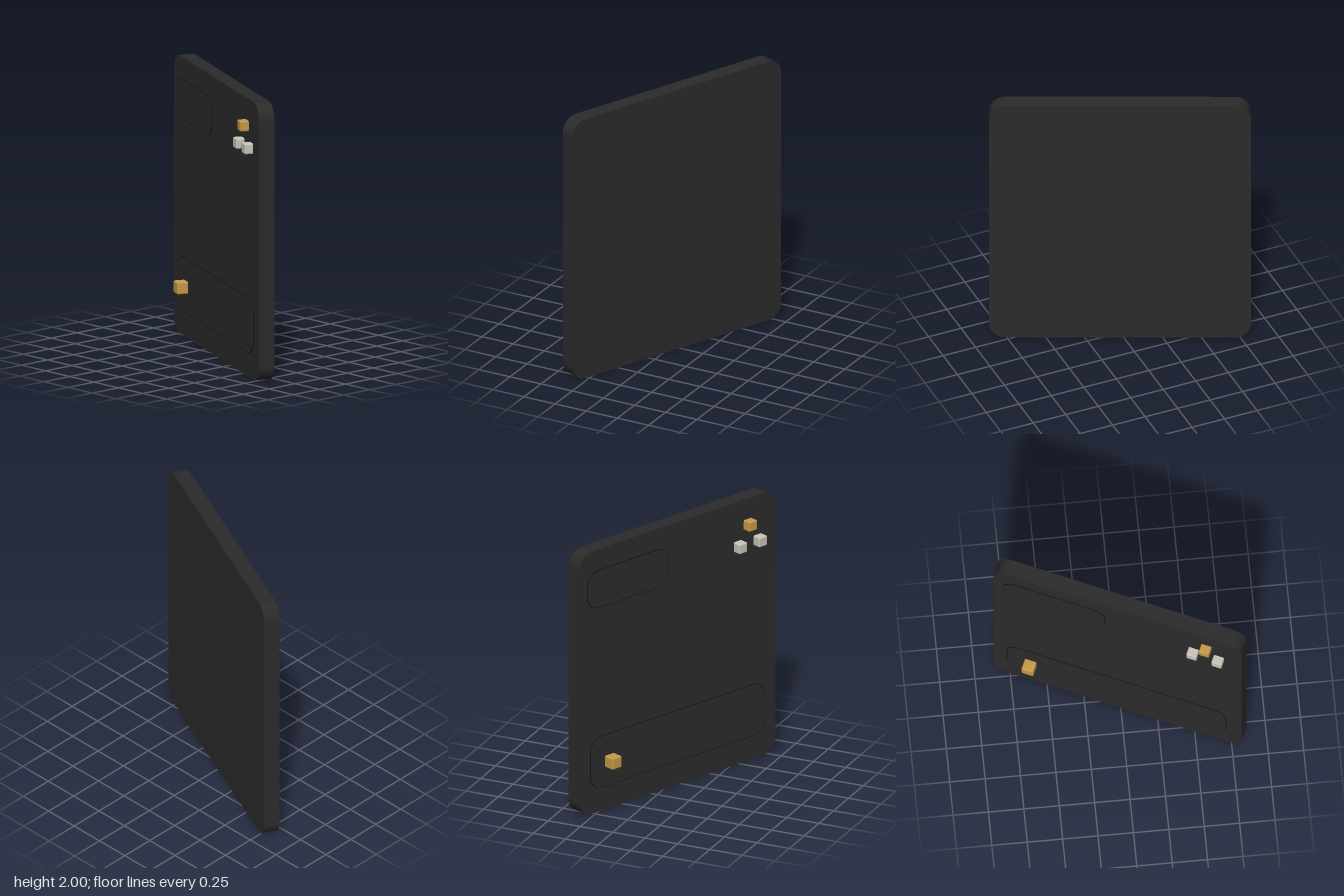
import * as THREE from 'three';
import { RoundedBoxGeometry } from 'three/addons/geometries/RoundedBoxGeometry.js';

const mat = (name, color) => {
  const m = new THREE.MeshStandardMaterial({ color });
  m.name = name;
  return m;
};

// Upright rounded plate whose back lies at z = 0
function plate(w, h, r, depth) {
  const x = w / 2, y = h / 2, s = new THREE.Shape();
  s.absarc(x - r, y - r, r, 0, Math.PI / 2);
  s.absarc(-x + r, y - r, r, Math.PI / 2, Math.PI);
  s.absarc(-x + r, -y + r, r, Math.PI, Math.PI * 1.5);
  s.absarc(x - r, -y + r, r, Math.PI * 1.5, Math.PI * 2);
  s.closePath();
  return new THREE.ExtrudeGeometry(s, { depth, bevelEnabled: false, curveSegments: 12 });
}

export function createModel() {
  const charcoal = mat('charcoal', 0x2b2b2b);
  const rim = mat('dark rim', 0x161616);
  const gold = mat('gold', 0xc89a48);
  const ivory = mat('ivory', 0xcac5bc);

  const model = new THREE.Group();
  model.name = 'turnedPanel';
  const add = (name, geo, material, x, y, z) => {
    const m = new THREE.Mesh(geo, material);
    m.name = name;
    m.position.set(x, y, z);
    model.add(m);
  };

  // Main slab
  const front = 0.057;
  add('slab', plate(1.84, 2, 0.115, front * 2), charcoal, 0, 1, -front);

  // Raised inset panels, each on a thin dark rim
  for (const [name, x, y, w, h] of [
    ['upperPanel', -0.468, 1.70, 0.76, 0.29],
    ['lowerPanel', -0.005, 0.373, 1.63, 0.395],
  ]) {
    add(name + 'Rim', plate(w, h, 0.105, 0.005), rim, x, y, front);
    add(name, plate(w - 0.012, h - 0.012, 0.099, 0.007), charcoal, x, y, front);
  }

  // Square buttons
  for (const [name, material, x, y, size, tip] of [
    ['topButton', gold, 0.66, 1.805, 0.076, 0.118],
    ['leftButton', ivory, 0.753, 1.661, 0.076, 0.118],
    ['rightButton', ivory, 0.567, 1.661, 0.076, 0.118],
    ['lowerButton', gold, -0.64, 0.368, 0.088, 0.144],
  ]) {
    add(name, new RoundedBoxGeometry(size, size, size, 2, 0.01), material, x, y, tip - size / 2);
  }

  // The whole panel is turned about the vertical axis
  model.rotation.y = THREE.MathUtils.degToRad(-24);
  const group = new THREE.Group();
  group.name = 'model';
  group.add(model);
  return group;
}
